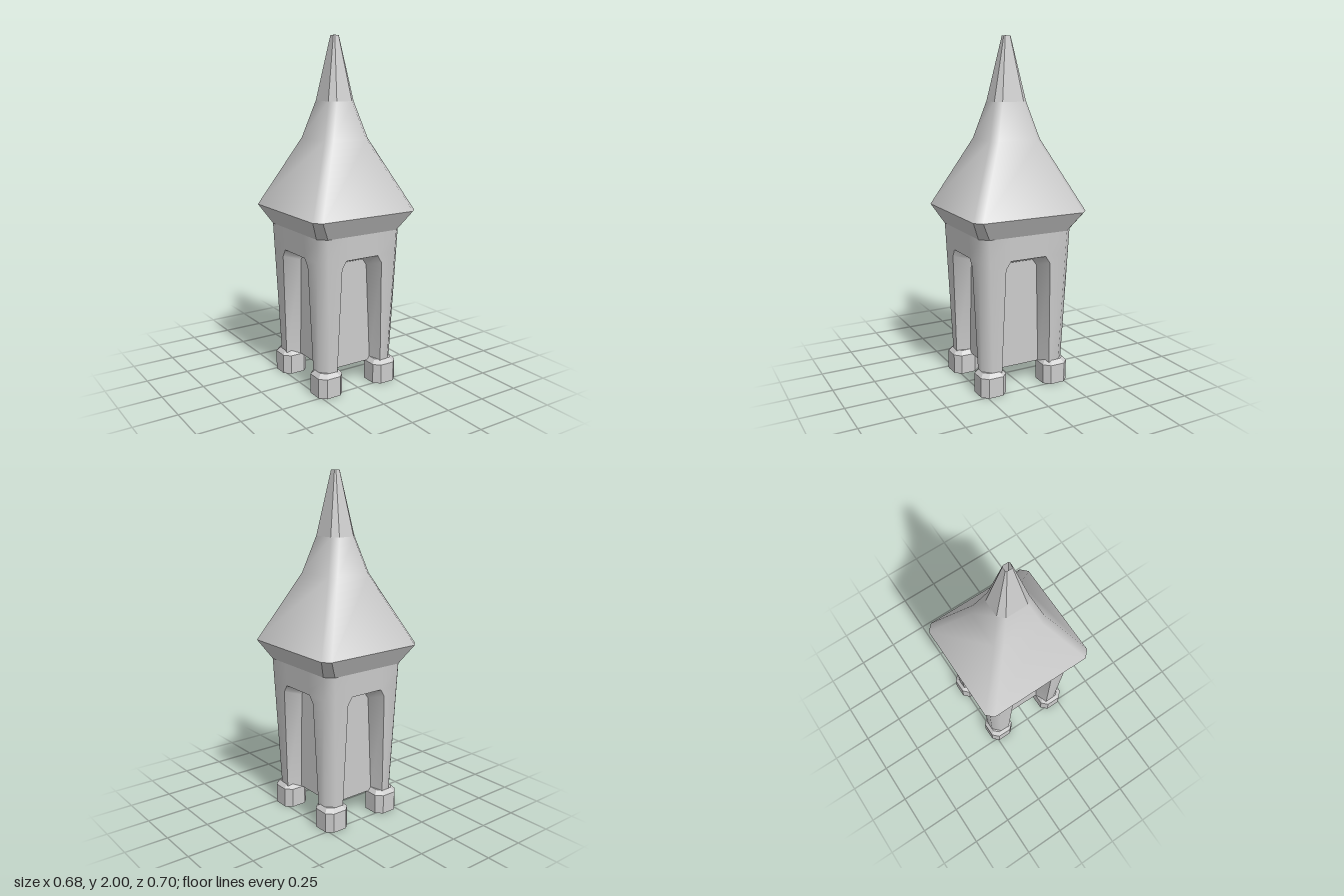
import * as THREE from 'three';
import { toCreasedNormals } from 'three/addons/utils/BufferGeometryUtils.js';

const material = new THREE.MeshStandardMaterial({ color: 0xcccccc, side: THREE.DoubleSide });

// Rectangle with cut corners, counter-clockwise seen from above
function octagon(y, hx, hz, c, cx = 0, cz = 0) {
  const half = [[hx, hz - c], [hx, c - hz], [hx - c, -hz], [c - hx, -hz]];
  return [...half, ...half.map(([x, z]) => [-x, -z])]
    .map(([x, z]) => new THREE.Vector3(cx + x, y, cz + z));
}

// Skin a stack of closed rings, leaving out collapsed triangles
function loft(name, rings, crease, capBottom = false, capTop = false) {
  const pos = [];
  const tri = (a, b, c) => {
    if (new THREE.Triangle(a, b, c).getArea() < 1e-7) return;
    for (const p of [a, b, c]) pos.push(p.x, p.y, p.z);
  };
  for (let i = 0; i + 1 < rings.length; i++) {
    const lo = rings[i], hi = rings[i + 1];
    for (let j = 0; j < lo.length; j++) {
      const k = (j + 1) % lo.length;
      tri(lo[j], lo[k], hi[k]);
      tri(lo[j], hi[k], hi[j]);
    }
  }
  const bottom = rings[0], top = rings[rings.length - 1];
  for (let j = 1; j + 1 < bottom.length; j++) {
    if (capBottom) tri(bottom[0], bottom[j + 1], bottom[j]);
    if (capTop) tri(top[0], top[j], top[j + 1]);
  }
  const geo = new THREE.BufferGeometry();
  geo.setAttribute('position', new THREE.Float32BufferAttribute(pos, 3));
  const mesh = new THREE.Mesh(toCreasedNormals(geo, crease), material);
  mesh.name = name;
  return mesh;
}

// One ring of the tower: corner piers with recessed panels between them.
// yo, yi: heights of the opening's rim and of the panel's edge
// front, side: half widths [rim, panel]; flush moves the panel out to the wall
function bodyRing(yo, yi, front, side, flush = false) {
  const X = 0.245 + 0.03 * (yo - 0.12) / 0.8;
  const Z = X + 0.015, c = 0.045;
  const px = flush ? X : 0.165, pz = flush ? Z : 0.18;
  const half = [
    [X, yo, Z - c], [X, yo, side[0]], [px, yi, side[1]],
    [px, yi, -side[1]], [X, yo, -side[0]], [X, yo, c - Z],
    [X - c, yo, -Z], [front[0], yo, -Z], [front[1], yi, -pz],
    [-front[1], yi, -pz], [-front[0], yo, -Z], [c - X, yo, -Z],
  ];
  return [...half, ...half.map(([x, y, z]) => [-x, y, -z])]
    .map((p) => new THREE.Vector3(...p));
}

export function createModel() {
  const group = new THREE.Group();
  group.name = 'spireTurret';

  // Tower body: tapered piers, recessed panels and clipped arches
  group.add(loft('towerBody', [
    bodyRing(0.12, 0.12, [0.15, 0.13], [0.155, 0.125]),
    bodyRing(0.74, 0.71, [0.133, 0.1], [0.14, 0.11]),
    bodyRing(0.785, 0.745, [0.105, 0.075], [0.11, 0.085]),
    bodyRing(0.785, 0.785, [0.105, 0.105], [0.11, 0.11], true),
    bodyRing(0.92, 0.92, [0.105, 0.105], [0.11, 0.11], true),
  ], 0.9));

  // Flared eave
  group.add(loft('eave', [
    octagon(0.92, 0.275, 0.29, 0.045),
    octagon(1.03, 0.338, 0.351, 0.039),
  ], 0.5));

  // Concave roof
  group.add(loft('roof', [
    octagon(1.03, 0.338, 0.351, 0.039),
    octagon(1.43, 0.145, 0.158, 0.036),
    octagon(1.64, 0.084, 0.1, 0.034),
  ], 0.9));

  // Slender spire, open at the tip
  group.add(loft('spire', [
    octagon(1.64, 0.084, 0.1, 0.034),
    octagon(2, 0.018, 0.021, 0.006),
  ], 0.6));

  // Block feet under the piers
  for (const sx of [1, -1]) {
    for (const sz of [1, -1]) {
      const foot = (y, h, c) => octagon(y, h, h, c, sx * 0.187, sz * 0.202);
      group.add(loft('foot', [
        foot(0, 0.079, 0.035),
        foot(0.115, 0.079, 0.035),
        foot(0.14, 0.058, 0.028),
      ], 0.5, true, true));
    }
  }
  return group;
}
